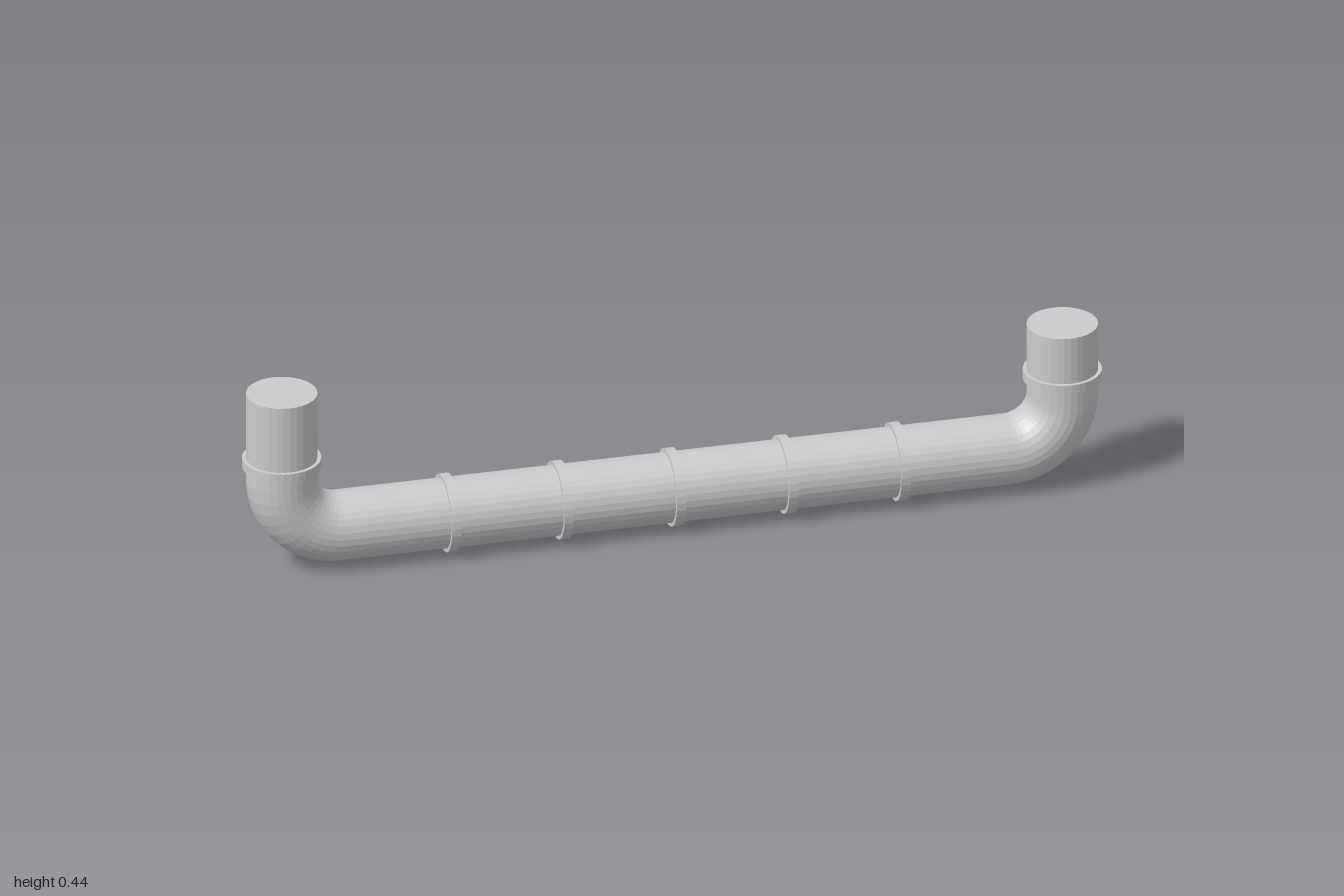
import * as THREE from 'three';

const SIDES = 32;
const PIPE_R = 0.081;    // pipe radius
const COLLAR_R = 0.09;   // collar radius
const COLLAR_W = 0.022;  // collar width
const AXIS_Y = 0.09;     // height of the horizontal run
const RISER_X = 0.91;    // distance of the upright ends from the middle
const BEND_R = 0.13;     // centre-line radius of the elbows

export function createModel() {
  const group = new THREE.Group();
  const material = new THREE.MeshStandardMaterial({ color: 0xcccccc, flatShading: true });

  const add = (name, geometry, x, y, rotZ = 0) => {
    const mesh = new THREE.Mesh(geometry, material);
    mesh.name = name;
    mesh.position.set(x, y, 0);
    mesh.rotation.z = rotZ;
    group.add(mesh);
  };

  const bendX = RISER_X - BEND_R;
  const bendY = AXIS_Y + BEND_R;

  // Horizontal run
  add('horizontalPipe',
    new THREE.CylinderGeometry(PIPE_R, PIPE_R, bendX * 2, SIDES, 1, true), 0, AXIS_Y, Math.PI / 2);

  // Evenly spaced collars along the run
  const collar = new THREE.CylinderGeometry(COLLAR_R, COLLAR_R, COLLAR_W, SIDES);
  for (let i = -2; i <= 2; i++) {
    add('pipeCollar', collar, i * 0.262, AXIS_Y, Math.PI / 2);
  }

  // Elbow, upright end and its collar on each side; the right end is taller
  const elbow = new THREE.TorusGeometry(BEND_R, PIPE_R, SIDES, 10, Math.PI / 2);
  const ends = [
    { side: 'left', sign: 1, top: 0.392, turn: -Math.PI / 2 },
    { side: 'right', sign: -1, top: 0.44, turn: Math.PI },
  ];
  for (const { side, sign, top, turn } of ends) {
    const height = top - bendY;
    add(side + 'Elbow', elbow, sign * bendX, bendY, turn);
    add(side + 'Riser',
      new THREE.CylinderGeometry(PIPE_R, PIPE_R, height, SIDES), sign * RISER_X, bendY + height / 2);
    add(side + 'RiserCollar', collar, sign * RISER_X, 0.267);
  }

  return group;
}
